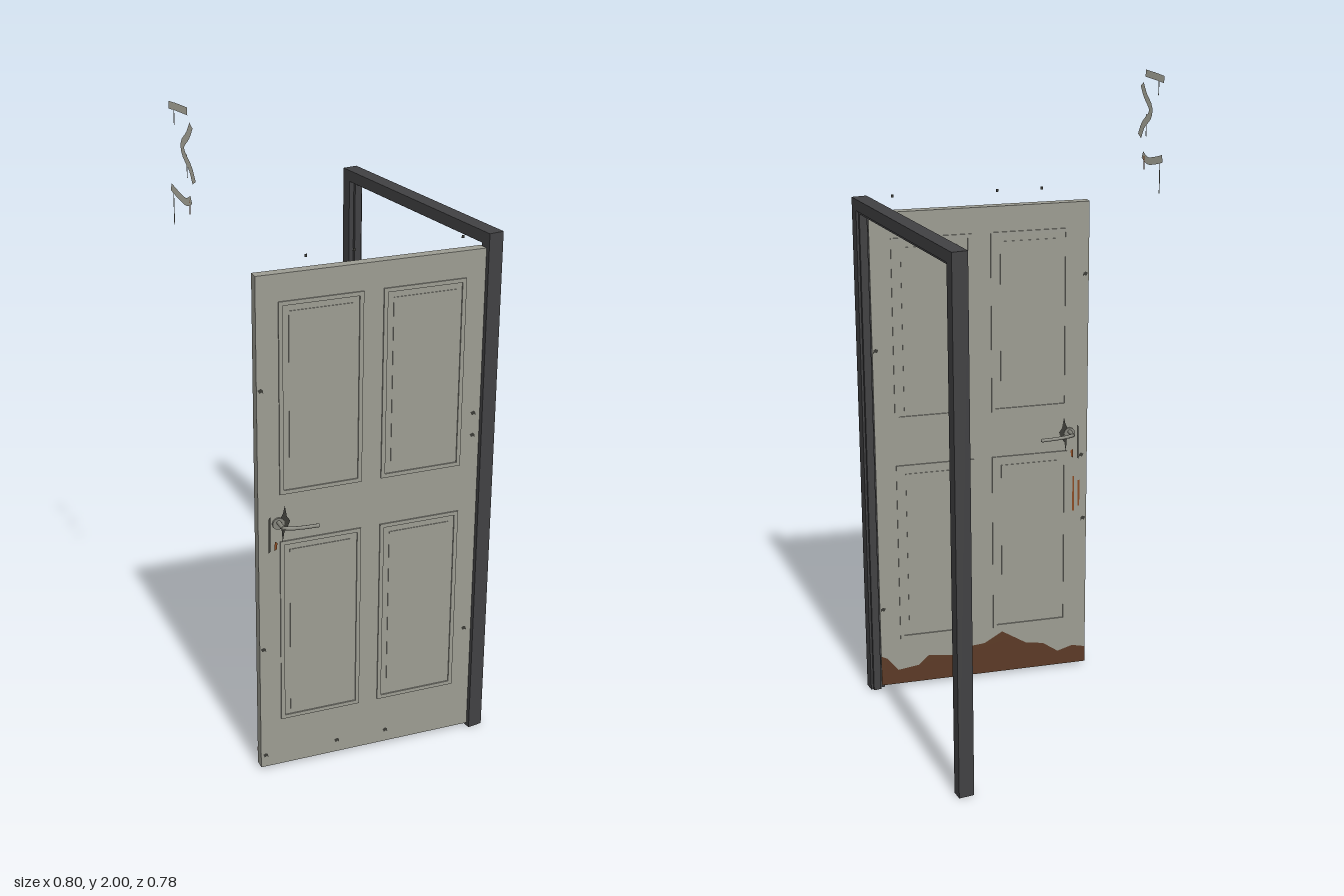
import * as THREE from 'three';

const mat = (name, color, side = THREE.FrontSide) => {
  const m = new THREE.MeshStandardMaterial({ color, side });
  m.name = name;
  return m;
};

export function createModel() {
  const paint = mat('door paint', 0x9c9c92);
  const dark = mat('dark frame', 0x414143);
  const metal = mat('handle metal', 0x85857c);
  const grime = mat('grime', 0x3b3b36, THREE.DoubleSide);
  const rust = mat('brown rust', 0x5c3a26, THREE.DoubleSide);
  const orange = mat('orange rust', 0x8a4a22, THREE.DoubleSide);
  const smear = mat('pale smear', 0xbdbcae, THREE.DoubleSide);

  const model = new THREE.Group();
  const add = (parent, name, geo, material, x = 0, y = 0, z = 0) => {
    const m = new THREE.Mesh(geo, material);
    m.name = name;
    m.position.set(x, y, z);
    parent.add(m);
    return m;
  };
  const shapeOf = pts => new THREE.Shape(pts.map(p => new THREE.Vector2(p[0], p[1])));
  const flat = pts => new THREE.ShapeGeometry(shapeOf(pts));
  const rect = (w, h) => [[-w / 2, -h / 2], [w / 2, -h / 2], [w / 2, h / 2], [-w / 2, h / 2]];

  // Door frame: an upside-down U with a thin stop running round the inside
  const portal = (name, x0, x1, outer, inner, top, under) => {
    const s = shapeOf([[-outer, 0], [-inner, 0], [-inner, under], [inner, under],
      [inner, 0], [outer, 0], [outer, top], [-outer, top]]);
    const g = new THREE.ExtrudeGeometry(s, { depth: x1 - x0, bevelEnabled: false });
    g.rotateY(Math.PI / 2);
    add(model, name, g, dark, x0);
  };
  portal('doorFrame', 0.35, 0.397, 0.388, 0.352, 1.625, 1.59);
  portal('frameStop', 0.366, 0.39, 0.353, 0.343, 1.591, 1.581);

  // Door leaf, standing open
  const door = new THREE.Group();
  door.name = 'door';
  door.position.set(0.019, 0, 0.301);
  door.rotation.y = -Math.PI / 18;
  model.add(door);
  add(door, 'doorLeaf', new THREE.BoxGeometry(0.69, 1.57, 0.031), paint, 0, 0.795, 0);

  // Moulded panels, two by two on each face
  const panel = (w, h) => {
    const s = shapeOf(rect(w, h));
    s.holes.push(new THREE.Path(rect(w - 0.024, h - 0.024).map(p => new THREE.Vector2(p[0], p[1]))));
    return new THREE.ExtrudeGeometry(s, { depth: 0.008, bevelEnabled: false });
  };
  for (const side of [1, -1]) {
    for (const x of [-0.155, 0.155]) {
      for (const [y, h] of [[1.21, 0.58], [0.47, 0.6]]) {
        const z = side > 0 ? 0.0115 : -0.0195;
        add(door, 'panelMoulding', panel(0.25, h), paint, x, y, z);
        add(door, 'panelField', new THREE.BoxGeometry(0.19, h - 0.06, 0.004), paint, x, y, side * 0.0155);
      }
    }

    // Lever handle with its round plate
    const rose = add(door, 'handlePlate',
      new THREE.CylinderGeometry(0.018, 0.018, 0.006, 20), metal, -0.285, 0.83, side * 0.018);
    rose.rotation.x = Math.PI / 2;
    const spindle = add(door, 'handleSpindle',
      new THREE.CylinderGeometry(0.0065, 0.0065, 0.046, 12), metal, -0.285, 0.835, side * 0.037);
    spindle.rotation.x = Math.PI / 2;
    const path = new THREE.CurvePath();
    const pts = [[-0.287, 0.835, 0.055], [-0.278, 0.836, 0.064], [-0.26, 0.835, 0.07],
      [-0.22, 0.832, 0.07], [-0.183, 0.83, 0.068]].map(p => new THREE.Vector3(p[0], p[1], side * p[2]));
    for (let i = 0; i < pts.length - 1; i++) path.add(new THREE.LineCurve3(pts[i], pts[i + 1]));
    add(door, 'handleLever', new THREE.TubeGeometry(path, 20, 0.0055, 10), metal);
    add(door, 'leverTip', new THREE.SphereGeometry(0.0062, 12, 8), metal, -0.183, 0.83, side * 0.068);

    // Worn marks round the handle
    const z = side * 0.0205;
    add(door, 'handleStain', flat([[-0.273, 0.77], [-0.268, 0.8], [-0.258, 0.815], [-0.25, 0.835],
      [-0.26, 0.85], [-0.266, 0.885], [-0.272, 0.86], [-0.28, 0.845], [-0.276, 0.81]]), grime, 0, 0, z);
    add(door, 'edgeStain', flat([[-0.316, 0.74], [-0.311, 0.745], [-0.31, 0.855], [-0.315, 0.85]]), grime, 0, 0, z);
    add(door, 'rustSpot', flat([[-0.298, 0.745], [-0.291, 0.75], [-0.289, 0.77], [-0.297, 0.775]]), orange, 0, 0, z);

    // Chipped paint near the edges
    const chips = side > 0
      ? [[-0.333, 1.245], [-0.333, 0.42], [-0.33, 0.05], [-0.1, 0.05], [0.06, 0.05], [0.318, 1.08], [0.318, 1.01], [0.316, 0.36]]
      : [[-0.333, 1.35], [-0.333, 0.53], [-0.325, 0.75], [0.335, 1.15], [0.335, 0.28]];
    for (const [x, y] of chips) {
      add(door, 'paintChip', flat([[-0.009, 0.004], [-0.004, -0.006], [0.003, -0.003], [0.008, -0.008],
        [0.006, 0.004], [0, 0.008]]), grime, x, y, side * 0.0165);
    }
  }

  // Loose flakes above the door
  for (const x of [-0.2, -0.06, 0.265]) {
    add(door, 'looseFlake', new THREE.BoxGeometry(0.007, 0.008, 0.002), grime, x, 1.622, 0.015);
  }

  // Rust along the bottom of the back face, and two runs below the handle
  add(door, 'rustBand', flat([[-0.345, 0.011], [0.345, 0.011], [0.345, 0.115], [0.325, 0.105], [0.29, 0.06],
    [0.22, 0.07], [0.19, 0.1], [0.1, 0.09], [0.05, 0.115], [0, 0.12], [-0.06, 0.155], [-0.1, 0.13],
    [-0.14, 0.105], [-0.2, 0.095], [-0.25, 0.06], [-0.3, 0.075], [-0.345, 0.065]]), rust, 0, 0, -0.0168);
  for (const [x, h] of [[-0.3, 0.12], [-0.318, 0.09]]) {
    add(door, 'rustRun', flat(rect(0.006, h)), orange, x, 0.62, -0.0168);
  }

  // Separate brush smears with drips on the far plane (points are z, y)
  const brush = (name, pts, width, material) => {
    const curve = new THREE.CatmullRomCurve3(pts.map(p => new THREE.Vector3(0, p[1], p[0])));
    const left = [], right = [];
    for (let i = 0; i <= 16; i++) {
      const p = curve.getPointAt(i / 16), t = curve.getTangentAt(i / 16);
      left.push([-p.z - t.y * width / 2, p.y - t.z * width / 2]);
      right.unshift([-p.z + t.y * width / 2, p.y + t.z * width / 2]);
    }
    const g = flat([...left, ...right]);
    g.rotateY(Math.PI / 2);
    add(model, name, g, material, -0.4);
  };
  brush('upperSmear', [[-0.076, 1.984], [-0.03, 1.987], [0.035, 1.989]], 0.021, smear);
  brush('middleSmear', [[0.055, 1.955], [0.035, 1.925], [0, 1.89], [0.005, 1.87], [0.045, 1.835], [0.065, 1.8]], 0.022, smear);
  brush('lowerSmear', [[0.045, 1.748], [0.015, 1.735], [-0.03, 1.742], [-0.076, 1.755]], 0.022, smear);
  for (const [z, top, bottom] of [[-0.045, 1.98, 1.935], [0.025, 1.87, 1.805], [-0.062, 1.75, 1.65]]) {
    brush('drip', [[z, top], [z, (top + bottom) / 2], [z, bottom]], 0.005, smear);
  }
  brush('rustDrip', [[0.035, 1.745], [0.035, 1.725], [0.034, 1.705]], 0.006, orange);

  return model;
}
